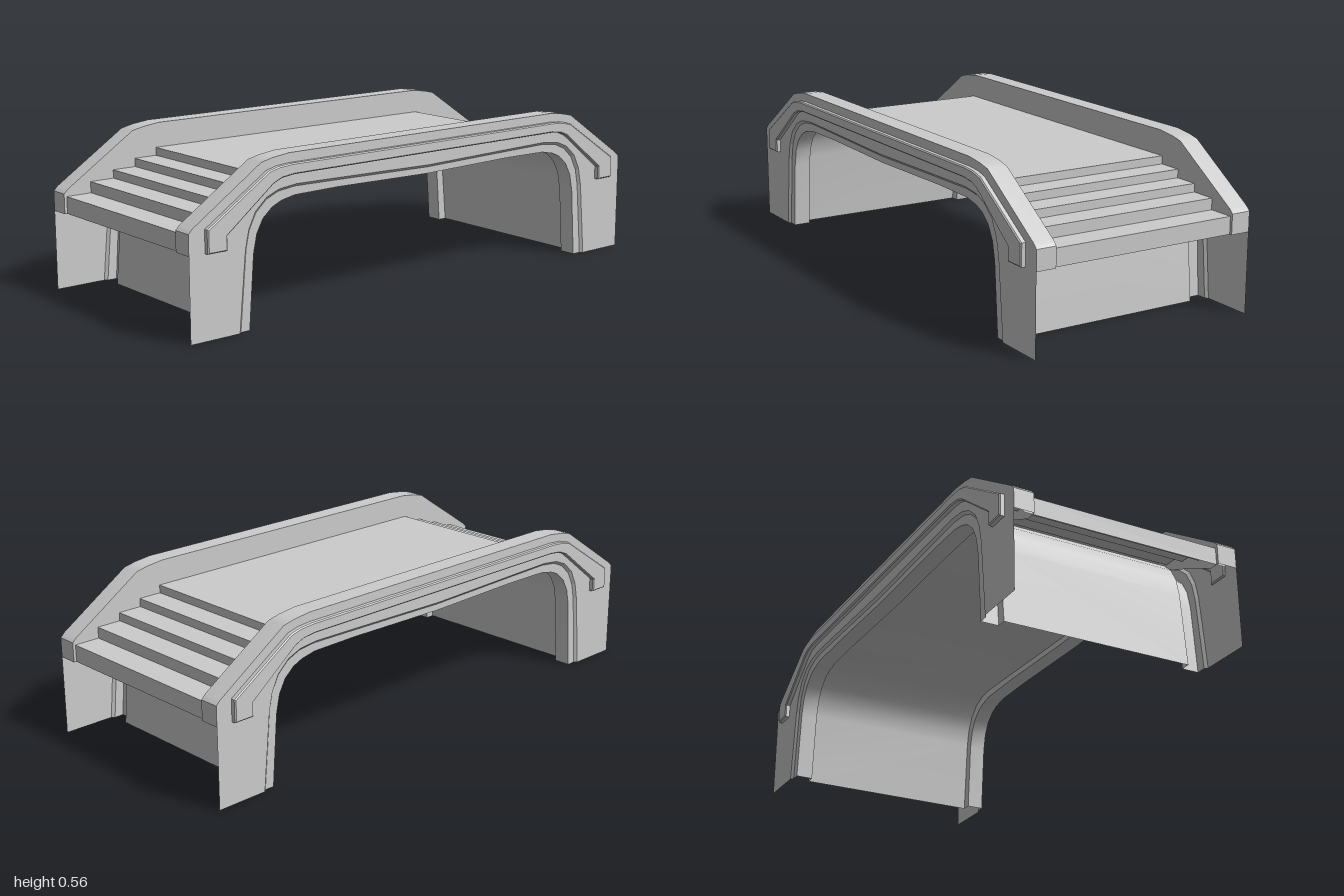
import * as THREE from 'three';

const solid = new THREE.MeshStandardMaterial({ color: 0xcccccc, flatShading: true });
const sheet = new THREE.MeshStandardMaterial({ color: 0xcccccc, side: THREE.DoubleSide, flatShading: true });
const smoothSheet = new THREE.MeshStandardMaterial({ color: 0xcccccc, side: THREE.DoubleSide });

// Completes a right-half path (outer end first, middle last) from x = + to x = -
const mirror = (half) => {
  const other = half.filter((p) => p[0] > 0).reverse().map(([x, y]) => [-x, y]);
  return [...half, ...other];
};
const toShape = (pts) => new THREE.Shape(pts.map(([x, y]) => new THREE.Vector2(x, y)));

// Sheet between two matching paths, each lying at its own z
function loft(a, za, b, zb) {
  const pos = [], idx = [];
  a.forEach((p, i) => {
    pos.push(p[0], p[1], za, b[i][0], b[i][1], zb);
    if (i) {
      const k = 2 * i;
      idx.push(k - 2, k - 1, k, k - 1, k + 1, k);
    }
  });
  const g = new THREE.BufferGeometry();
  g.setAttribute('position', new THREE.Float32BufferAttribute(pos, 3));
  g.setIndex(idx);
  g.computeVertexNormals();
  return g;
}

function add(parent, name, geometry, material) {
  const m = new THREE.Mesh(geometry, material);
  m.name = name;
  parent.add(m);
}

// Silhouette of the parapet
const crest = mirror([[1, 0.355], [0.985, 0.37], [0.72, 0.545], [0.675, 0.555], [0.61, 0.563]]);
// Opening: outer edge of the recessed trim, its lip (also the tunnel lining) and the rib's inner edge
const archOuter = mirror([[0.812, 0], [0.786, 0.27], [0.772, 0.335], [0.745, 0.39],
  [0.70, 0.43], [0.65, 0.45], [0.58, 0.458], [0.4, 0.455], [0, 0.447]]);
const archLip = mirror([[0.802, 0], [0.777, 0.27], [0.764, 0.33], [0.737, 0.383],
  [0.695, 0.421], [0.647, 0.441], [0.58, 0.449], [0.4, 0.446], [0, 0.438]]);
const archInner = mirror([[0.767, 0], [0.748, 0.25], [0.734, 0.315], [0.709, 0.361],
  [0.672, 0.393], [0.635, 0.409], [0.58, 0.42], [0.4, 0.422], [0, 0.415]]);

const WALL = 0.417, RECESS = 0.408, INNER = 0.345;

// One long side: wall, hollow parapet, raised moulding and arch rib
function makeSide(name) {
  const side = new THREE.Group();
  side.name = name;

  const wall = [[1, 0], ...crest, [-1, 0], ...archOuter.slice().reverse()];
  add(side, 'sideWall', new THREE.ShapeGeometry(toShape(wall)).translate(0, 0, WALL), sheet);

  const foot = mirror([[1, 0.284], [0.96, 0.284], [0.62, 0.44]]).reverse();
  add(side, 'parapetInnerFace',
    new THREE.ShapeGeometry(toShape([...crest, ...foot])).translate(0, 0, INNER), sheet);
  add(side, 'parapetTop', loft(crest, WALL, crest, INNER), smoothSheet);
  for (const x of [1, -1]) {
    const end = [[x, 0.284], [x, 0.355]];
    add(side, 'parapetEnd', loft(end, WALL, end, INNER), sheet);
  }

  const bandTop = mirror([[0.936, 0.288], [0.936, 0.36], [0.70, 0.513], [0.66, 0.523], [0.61, 0.527]]);
  const bandLow = mirror([[0.869, 0.288], [0.869, 0.335], [0.685, 0.477], [0.65, 0.492], [0.60, 0.498]]);
  const band = new THREE.ExtrudeGeometry(toShape([...bandTop, ...bandLow.reverse()]),
    { depth: 0.016, bevelSize: 0.004, bevelThickness: 0.004, bevelSegments: 1 });
  add(side, 'raisedMoulding', band.translate(0, 0, 0.415), solid);

  // Rib framing the opening, standing proud of the tunnel lining
  add(side, 'archStep', loft(archOuter, WALL, archLip, RECESS), sheet);
  add(side, 'archTrim', loft(archLip, RECESS, archInner, RECESS), sheet);
  add(side, 'archRibUnderside', loft(archInner, RECESS, archInner, INNER), smoothSheet);
  add(side, 'archRibInnerFace', loft(archInner, INNER, archLip, INNER), sheet);
  return side;
}

export function createModel() {
  const bridge = new THREE.Group();
  bridge.name = 'footbridge';

  bridge.add(makeSide('frontSide'));
  const back = makeSide('backSide');
  back.rotation.y = Math.PI;
  bridge.add(back);

  // Curved lining under the span
  add(bridge, 'tunnelLining', loft(archLip, INNER, archLip, -INNER), smoothSheet);

  // Deck with a flight of steps at each end, tucked into the parapets
  const edges = [0.99, 0.895, 0.803, 0.713, 0.625];
  const levels = [0.284, 0.345, 0.385, 0.415, 0.445, 0.474];
  const steps = mirror(edges.flatMap((x, i) => [[x, levels[i]], [x, levels[i + 1]]]));
  add(bridge, 'deckAndSteps', loft(steps, 0.38, steps, -0.38), sheet);

  return bridge;
}
